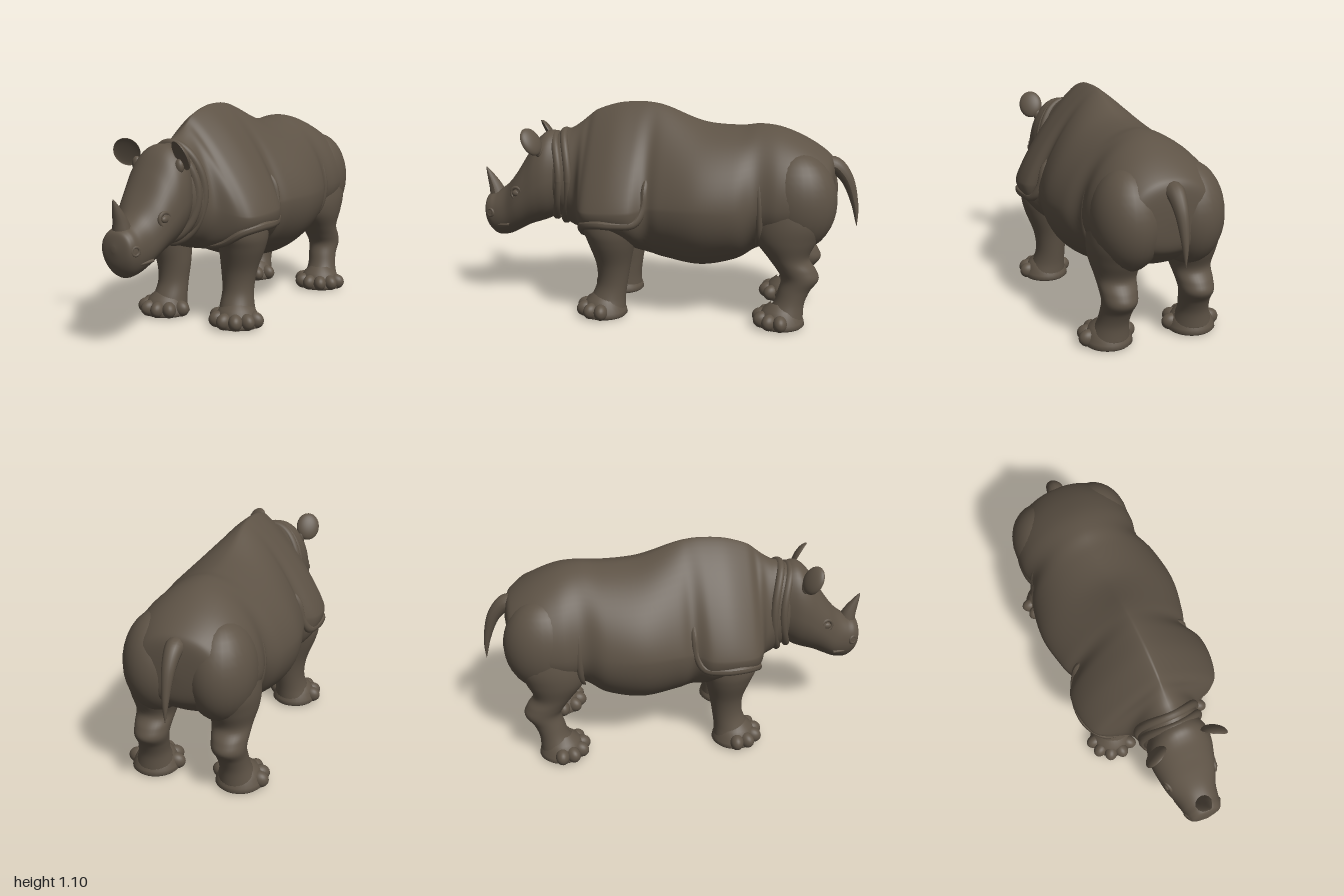
import * as THREE from 'three';

const hide = new THREE.MeshStandardMaterial({ color: 0x5e5346 });
hide.name = 'greyBrownHide';

function add(parent, name, geometry) {
  const mesh = new THREE.Mesh(geometry, hide);
  mesh.name = name;
  parent.add(mesh);
  return mesh;
}

// Smooth interpolation through rows of section values
function sample(rows, t) {
  const f = t * (rows.length - 1), i = Math.min(Math.floor(f), rows.length - 2), u = f - i;
  const row = (k) => rows[Math.max(0, Math.min(rows.length - 1, k))];
  return rows[0].map((_, c) => {
    const p0 = row(i - 1)[c], p1 = row(i)[c], p2 = row(i + 1)[c], p3 = row(i + 2)[c];
    const m1 = (p2 - p0) / 2, m2 = (p3 - p1) / 2;
    return p1 + m1 * u + (3 * (p2 - p1) - 2 * m1 - m2) * u * u + (2 * (p1 - p2) + m1 + m2) * u * u * u;
  });
}

// Closed skin over interpolated cross-sections; ring(row, angle) gives a point
function loft(rows, ring, steps = 72, sides = 48) {
  const pos = [], idx = [];
  for (let i = 0; i <= steps; i++) {
    const r = sample(rows, i / steps);
    for (let j = 0; j < sides; j++) pos.push(...ring(r, (j / sides) * Math.PI * 2));
  }
  for (let i = 0; i < steps; i++) {
    for (let j = 0; j < sides; j++) {
      const a = i * sides + j, b = i * sides + ((j + 1) % sides);
      idx.push(a, b, a + sides, b, b + sides, a + sides);
    }
  }
  for (const start of [0, steps * sides]) {
    const c = [0, 0, 0];
    for (let j = 0; j < sides; j++) for (let k = 0; k < 3; k++) c[k] += pos[(start + j) * 3 + k] / sides;
    const ci = pos.length / 3;
    pos.push(...c);
    for (let j = 0; j < sides; j++) {
      const a = start + j, b = start + ((j + 1) % sides);
      if (start) idx.push(a, b, ci); else idx.push(b, a, ci);
    }
  }
  // Turn the faces outward when the enclosed volume is negative
  const v = (i) => new THREE.Vector3().fromArray(pos, i * 3);
  let volume = 0;
  for (let i = 0; i < idx.length; i += 3) volume += v(idx[i]).dot(v(idx[i + 1]).cross(v(idx[i + 2])));
  if (volume < 0) idx.reverse();
  const g = new THREE.BufferGeometry();
  g.setAttribute('position', new THREE.Float32BufferAttribute(pos, 3));
  g.setIndex(idx);
  g.computeVertexNormals();
  return g;
}

// Section across z: [z, top, bottom, halfWidth, widestHeight, roundness of upper half]
function bodyRing([z, top, bot, w, mid, n], a) {
  const c = Math.cos(a), s = Math.sin(a), e = s > 0 ? 2 / n : 1;
  const x = w * Math.sign(c) * Math.abs(c) ** e;
  const y = s > 0 ? mid + (top - mid) * s ** e : mid + (mid - bot) * s;
  return [x, y, z];
}

// Section across y: [y, centreX, centreZ, radiusX, radiusZ]
const legRing = (side) => ([y, cx, cz, rx, rz], a) =>
  [side * (cx + rx * Math.cos(a)), y, cz + rz * Math.sin(a)];

// Tube whose radius follows a function of its length
function taperedTube(points, radius, closed = false, segs = 48) {
  const curve = new THREE.CatmullRomCurve3(points.map((p) => new THREE.Vector3(...p)), closed);
  const g = new THREE.TubeGeometry(curve, segs, 1, 12, closed);
  const p = g.attributes.position, v = new THREE.Vector3();
  for (let i = 0; i < p.count; i++) {
    const t = Math.floor(i / 13) / segs, c = curve.getPointAt(t);
    v.fromBufferAttribute(p, i).sub(c).multiplyScalar(radius(t)).add(c);
    p.setXYZ(i, v.x, v.y, v.z);
  }
  g.computeVertexNormals();
  return g;
}

function ball(parent, name, position, scale) {
  const mesh = add(parent, name, new THREE.SphereGeometry(1, 28, 18));
  mesh.position.set(...position);
  mesh.scale.set(...scale);
  return mesh;
}

// Splayed foot with a flat sole and a fan of toes
function foot(parent, name, x, z, side) {
  const g = new THREE.Group();
  g.name = name;
  g.position.set(x * side, 0, z);
  parent.add(g);
  const profile = [[0, 0.004], [0.11, 0.004], [0.121, 0.015], [0.117, 0.035], [0.104, 0.065], [0.088, 0.095], [0.05, 0.125]];
  add(g, 'footPad', new THREE.LatheGeometry(profile.map((p) => new THREE.Vector2(...p)), 32));
  for (const deg of [-82, -42, -8, 26, 60, 92]) {
    const a = THREE.MathUtils.degToRad(deg) * side;
    const toe = ball(g, 'toe', [0.1 * Math.sin(a), 0.043, 0.1 * Math.cos(a)], [0.036, 0.042, 0.048]);
    toe.rotation.y = a;
  }
}

// Cupped ear: the front of a sphere is pushed back inside it
function earGeometry() {
  const g = new THREE.SphereGeometry(1, 32, 24);
  const p = g.attributes.position;
  for (let i = 0; i < p.count; i++) if (p.getZ(i) > 0) p.setZ(i, p.getZ(i) * -0.3);
  g.computeVertexNormals();
  return g;
}

export function createModel() {
  const model = new THREE.Group();
  model.name = 'rhinoceros';

  // Torso with shoulder hump, barrel belly and rump
  add(model, 'torso', loft([
    [0.62, 0.9, 0.52, 0.12, 0.7, 2], [0.56, 0.935, 0.47, 0.158, 0.68, 1.9],
    [0.5, 0.955, 0.43, 0.168, 0.64, 1.8], [0.45, 0.988, 0.415, 0.2, 0.6, 1.55],
    [0.41, 1.02, 0.4, 0.3, 0.575, 1.22], [0.36, 1.055, 0.39, 0.352, 0.57, 1.2],
    [0.25, 1.09, 0.375, 0.38, 0.575, 1.25], [0.14, 1.1, 0.33, 0.374, 0.58, 1.27],
    [0.06, 1.095, 0.3, 0.325, 0.59, 1.35], [-0.02, 1.075, 0.28, 0.35, 0.6, 1.4],
    [-0.2, 1.005, 0.255, 0.382, 0.6, 1.62], [-0.38, 0.99, 0.295, 0.358, 0.6, 1.75],
    [-0.49, 1.0, 0.36, 0.308, 0.62, 1.85], [-0.6, 0.985, 0.38, 0.325, 0.62, 1.9],
    [-0.72, 0.935, 0.41, 0.31, 0.63, 2], [-0.82, 0.872, 0.48, 0.245, 0.64, 2.1],
    [-0.86, 0.825, 0.54, 0.175, 0.66, 2.1], [-0.873, 0.74, 0.66, 0.02, 0.7, 2],
  ], bodyRing, 110, 64));

  // Head
  const head = new THREE.Group();
  head.name = 'head';
  model.add(head);
  add(head, 'skull', loft([
    [0.54, 0.91, 0.52, 0.13, 0.7, 2.2], [0.62, 0.935, 0.465, 0.16, 0.68, 2.2],
    [0.68, 0.9, 0.44, 0.163, 0.65, 2.2], [0.74, 0.815, 0.42, 0.152, 0.6, 2.2],
    [0.8, 0.72, 0.39, 0.137, 0.55, 2.3], [0.86, 0.645, 0.36, 0.112, 0.5, 2.2],
    [0.92, 0.6, 0.352, 0.099, 0.485, 2.2], [0.96, 0.585, 0.375, 0.09, 0.49, 2.2],
    [0.985, 0.565, 0.42, 0.07, 0.495, 2.1], [0.998, 0.51, 0.485, 0.01, 0.497, 2],
  ], bodyRing));
  add(head, 'horn', taperedTube([[0, 0.565, 0.93], [0, 0.615, 0.945], [0, 0.665, 0.967], [0, 0.722, 0.994]],
    (t) => 0.047 * (1 - t) ** 0.8 + 0.001));
  add(head, 'mouthFold', taperedTube([[-0.103, 0.43, 0.84], [-0.082, 0.424, 0.91], [-0.049, 0.43, 0.963],
    [0, 0.433, 0.98], [0.049, 0.43, 0.963], [0.082, 0.424, 0.91], [0.103, 0.43, 0.84]], () => 0.008));

  // Skin folds around the neck, swept back at the sides
  for (const [z, rx, ry] of [[0.545, 0.152, 0.22], [0.495, 0.156, 0.24]]) {
    const ring = Array.from({ length: 24 }, (_, i) => {
      const a = (i / 24) * Math.PI * 2, s = Math.sin(a);
      return [rx * Math.cos(a), 0.692 + ry * s, z + 0.05 * s * s];
    });
    add(model, 'neckFold', taperedTube(ring, () => 0.021, true, 72));
  }

  // Tail
  add(model, 'tail', taperedTube([[0, 0.79, -0.81], [0, 0.798, -0.865], [0, 0.735, -0.928], [0, 0.6, -0.975], [0, 0.48, -0.99]],
    (t) => 0.042 * (1 - t) ** 1.3 + 0.01 * (1 - t ** 8)));

  for (const side of [1, -1]) {
    const label = side > 0 ? 'left' : 'right';
    const m = (points) => points.map(([x, y, z]) => [x * side, y, z]);

    // Ear, eye and nostril
    const ear = add(head, label + 'Ear', earGeometry());
    ear.position.set(0.152 * side, 0.893, 0.69);
    ear.rotation.set(0.45, -0.5 * side, -0.2 * side, 'YXZ');
    ear.scale.set(0.064, 0.076, 0.03);
    ball(head, label + 'EarBase', [0.122 * side, 0.838, 0.655], [0.024, 0.035, 0.02]);
    ball(head, label + 'Eye', [0.131 * side, 0.612, 0.785], [0.014, 0.018, 0.024]);
    const lid = add(head, label + 'Eyelid', new THREE.TorusGeometry(0.031, 0.009, 10, 28));
    lid.position.set(0.13 * side, 0.612, 0.785);
    lid.rotation.y = 1.3 * side;
    const nostril = add(head, label + 'Nostril', new THREE.TorusGeometry(0.019, 0.008, 10, 24));
    nostril.position.set(0.087 * side, 0.49, 0.95);
    nostril.rotation.y = 1.15 * side;

    // Armour fold along the shoulder edge and crease at the flank
    add(model, label + 'ShoulderFold', taperedTube(m([[0.06, 0.405, 0.4], [0.2, 0.44, 0.4], [0.3, 0.5, 0.38],
      [0.352, 0.522, 0.3], [0.358, 0.522, 0.2], [0.335, 0.53, 0.11], [0.31, 0.6, 0.07], [0.29, 0.7, 0.06], [0.215, 0.78, 0.06]]),
      (t) => 0.024 * Math.sin(Math.PI * t) ** 0.4 + 0.001));
    add(model, label + 'FlankFold', taperedTube(m([[0.225, 0.84, -0.51], [0.278, 0.72, -0.51], [0.293, 0.6, -0.515],
      [0.268, 0.48, -0.51], [0.2, 0.4, -0.49]]), (t) => 0.018 * Math.sin(Math.PI * t) ** 0.6 + 0.001));

    // Front leg
    add(model, label + 'FrontLeg', loft([
      [0.6, 0.23, 0.25, 0.11, 0.13], [0.48, 0.225, 0.255, 0.126, 0.142], [0.4, 0.22, 0.25, 0.116, 0.122],
      [0.28, 0.2, 0.245, 0.092, 0.09], [0.18, 0.198, 0.252, 0.08, 0.08],
      [0.1, 0.204, 0.272, 0.088, 0.09], [0.04, 0.215, 0.285, 0.104, 0.104],
    ], legRing(side), 40, 36));
    foot(model, label + 'FrontFoot', 0.216, 0.293, side);

    // Haunch and hind leg with hock
    ball(model, label + 'Haunch', [0.155 * side, 0.635, -0.685], [0.17, 0.25, 0.203]);
    add(model, label + 'HindLeg', loft([
      [0.7, 0.18, -0.66, 0.12, 0.17], [0.55, 0.186, -0.65, 0.138, 0.184], [0.45, 0.19, -0.64, 0.128, 0.158],
      [0.36, 0.195, -0.655, 0.1, 0.105], [0.3, 0.198, -0.695, 0.09, 0.1], [0.25, 0.2, -0.717, 0.084, 0.094],
      [0.19, 0.205, -0.69, 0.077, 0.08], [0.12, 0.213, -0.665, 0.079, 0.078], [0.04, 0.22, -0.635, 0.102, 0.104],
    ], legRing(side), 48, 36));
    foot(model, label + 'HindFoot', 0.222, -0.627, side);
  }
  return model;
}
